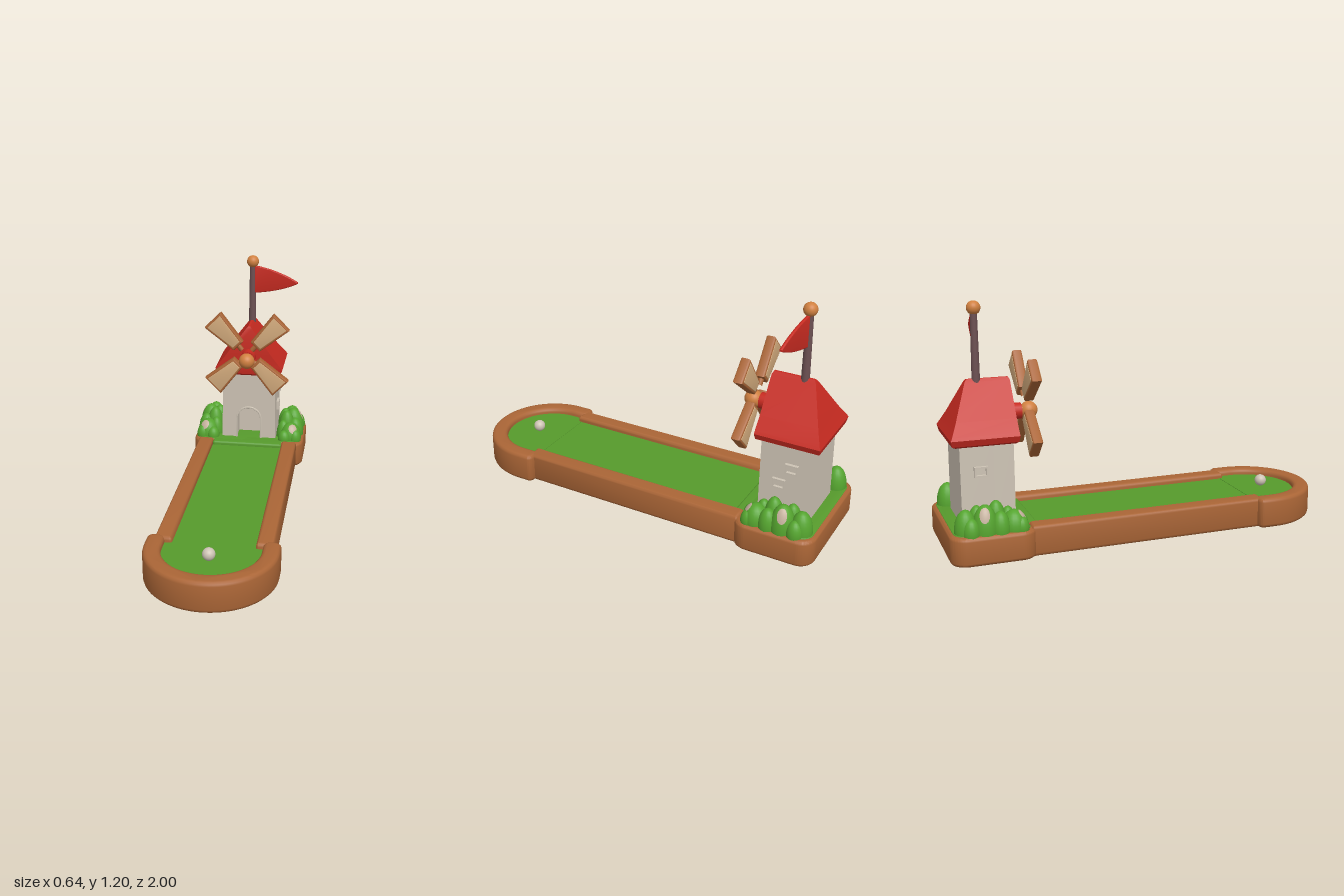
import * as THREE from 'three';
import { toCreasedNormals } from 'three/addons/utils/BufferGeometryUtils.js';

const mat = (name, color, side = THREE.FrontSide) => {
  const m = new THREE.MeshStandardMaterial({ color, side });
  m.name = name;
  return m;
};

export function createModel() {
  const M = {
    wood: mat('wood brown', 0xaa6536),
    turf: mat('turf green', 0x569a2c),
    bush: mat('bush green', 0x55a52f),
    wall: mat('wall cream', 0xcdc3b4),
    red: mat('roof red', 0xc62a20),
    sail: mat('sail tan', 0xd2aa7c),
    orange: mat('knob orange', 0xd08040),
    pole: mat('pole dark', 0x6c5052),
    blossom: mat('blossom', 0xc4b09c),
  };
  const model = new THREE.Group();
  model.name = 'miniGolfWindmill';

  const add = (name, geo, material, x = 0, y = 0, z = 0, parent = model) => {
    const mesh = new THREE.Mesh(geo, material);
    mesh.name = name;
    mesh.position.set(x, y, z);
    parent.add(mesh);
    return mesh;
  };

  // Extrude a shape with a rounded edge that stays inside the outline
  const bevelled = (shape, depth, b) => toCreasedNormals(new THREE.ExtrudeGeometry(shape, {
    depth: depth - 2 * b, bevelEnabled: b > 0, bevelSize: b, bevelThickness: b,
    bevelOffset: -b, bevelSegments: 3, curveSegments: 24,
  }).translate(0, 0, b), 0.7);

  // Ground plan (drawn with y = -z) raised from y0 to y1
  const raised = (shape, y0, y1, b) => bevelled(shape, y1 - y0, b).rotateX(-Math.PI / 2).translate(0, y0, 0);

  const roundRect = (x0, z0, x1, z1, r) => {
    const s = new THREE.Shape(), a = -z1, c = -z0;
    s.moveTo(x0 + r, a).lineTo(x1 - r, a).absarc(x1 - r, a + r, r, -Math.PI / 2, 0)
      .lineTo(x1, c - r).absarc(x1 - r, c - r, r, 0, Math.PI / 2)
      .lineTo(x0 + r, c).absarc(x0 + r, c - r, r, Math.PI / 2, Math.PI)
      .lineTo(x0, a + r).absarc(x0 + r, a + r, r, Math.PI, Math.PI * 1.5);
    return s;
  };

  // Lane ended by a half disc around z = 0.68
  const tongue = (r, z0) => new THREE.Shape().moveTo(r, -z0).lineTo(-r, -z0)
    .lineTo(-r, -0.68).absarc(0, -0.68, r, Math.PI, Math.PI * 2);

  // Base, side rails and rounded end rail
  add('laneFloor', new THREE.BoxGeometry(0.54, 0.07, 1.3), M.wood, 0, 0.037, 0);
  add('endFloor', raised(tongue(0.3, 0.61), 0.002, 0.075, 0), M.wood);
  for (const s of [-1, 1]) {
    const x0 = s > 0 ? 0.2 : -0.285;
    add(s > 0 ? 'leftRail' : 'rightRail', raised(roundRect(x0, -0.61, x0 + 0.085, 0.62, 0.01), 0, 0.155, 0.018), M.wood);
  }
  const rim = new THREE.Shape().moveTo(0.235, -0.68)
    .lineTo(0.235, -0.61).quadraticCurveTo(0.24, -0.587, 0.277, -0.585)
    .quadraticCurveTo(0.315, -0.587, 0.32, -0.61).lineTo(0.32, -0.68)
    .absarc(0, -0.68, 0.32, 0, -Math.PI, true)
    .lineTo(-0.32, -0.61).quadraticCurveTo(-0.315, -0.587, -0.277, -0.585)
    .quadraticCurveTo(-0.24, -0.587, -0.235, -0.61).lineTo(-0.235, -0.68)
    .absarc(0, -0.68, 0.235, -Math.PI, 0, false);
  add('endRail', raised(rim, 0, 0.157, 0.02), M.wood);
  add('rearBase', raised(roundRect(-0.32, -1, 0.32, -0.585, 0.08), 0, 0.142, 0.018), M.wood);

  // Turf
  add('laneTurf', raised(roundRect(-0.21, -0.62, 0.21, 0.65, 0.01), 0.06, 0.125, 0), M.turf);
  add('endTurf', raised(tongue(0.25, 0.6), 0.06, 0.127, 0), M.turf);
  add('rearTurf', raised(roundRect(-0.29, -0.98, 0.29, -0.61, 0.06), 0.12, 0.146, 0.004), M.turf);
  add('turfLip', raised(roundRect(-0.2, -0.66, 0.2, -0.565, 0.01), 0.1, 0.146, 0.01), M.turf);
  add('ball', new THREE.SphereGeometry(0.031, 24, 16), M.wall, 0, 0.158, 0.75);

  // House: front part with an arched doorway, solid rear part
  const house = new THREE.Group();
  house.name = 'house';
  model.add(house);
  const front = new THREE.Shape().moveTo(-0.158, 0.13).lineTo(-0.07, 0.13).lineTo(-0.07, 0.262)
    .absarc(0, 0.262, 0.07, Math.PI, 0, true).lineTo(0.07, 0.13)
    .lineTo(0.158, 0.13).lineTo(0.15, 0.56).lineTo(-0.15, 0.56);
  const back = new THREE.Shape().moveTo(-0.158, 0.13).lineTo(0.158, 0.13).lineTo(0.15, 0.56).lineTo(-0.15, 0.56);
  add('frontWall', bevelled(front, 0.1, 0), M.wall, 0, 0, -0.76, house);
  add('rearWalls', bevelled(back, 0.16, 0), M.wall, 0, 0, -0.92, house);
  const arch = new THREE.Shape().moveTo(-0.076, 0.14).lineTo(-0.076, 0.262)
    .absarc(0, 0.262, 0.076, Math.PI, 0, true).lineTo(0.076, 0.14).lineTo(0.066, 0.14)
    .lineTo(0.066, 0.262).absarc(0, 0.262, 0.066, 0, Math.PI, false).lineTo(-0.066, 0.14);
  add('doorFrame', bevelled(arch, 0.02, 0.002), M.wall, 0, 0, -0.673, house);

  // Side windows with a sill frame
  for (const [s, y, z] of [[1, 0.417, -0.823], [1, 0.325, -0.763], [-1, 0.41, -0.823]]) {
    const w = new THREE.Group();
    w.name = 'window';
    w.position.set(s * 0.157, y, z);
    house.add(w);
    for (const e of [-1, 1]) {
      add('frameBar', new THREE.BoxGeometry(0.024, 0.009, 0.066), M.wall, 0, e * 0.021, 0, w);
      add('framePost', new THREE.BoxGeometry(0.024, 0.042, 0.009), M.wall, 0, 0, e * 0.0285, w);
    }
  }

  // Roof: rectangular rings [y, half width, front z, back z], gable in front and hip behind
  const rings = [[0.535, 0.165, -0.65, -0.94], [0.545, 0.182, -0.64, -0.958], [0.575, 0.193, -0.636, -0.965],
    [0.59, 0.184, -0.637, -0.957], [0.65, 0.136, -0.638, -0.928], [0.815, 0.017, -0.638, -0.858], [0.828, 0.006, -0.645, -0.848]];
  const pos = [], idx = [];
  for (const [y, w, f, b] of rings) pos.push(-w, y, f, w, y, f, w, y, b, -w, y, b);
  for (let i = 0; i < rings.length - 1; i++) {
    for (let j = 0; j < 4; j++) {
      const a = i * 4 + j, c = i * 4 + (j + 1) % 4;
      idx.push(a, c, c + 4, a, c + 4, a + 4);
    }
  }
  const t = (rings.length - 1) * 4;
  idx.push(0, 2, 1, 0, 3, 2, t, t + 1, t + 2, t, t + 2, t + 3);
  const roof = new THREE.BufferGeometry();
  roof.setAttribute('position', new THREE.Float32BufferAttribute(pos, 3));
  roof.setIndex(idx);
  add('roof', toCreasedNormals(roof, 0.6), M.red, 0, 0, 0, house);

  // Sails on a short axle
  const axle = add('axle', new THREE.CylinderGeometry(0.04, 0.042, 0.09, 20), M.red, 0, 0.655, -0.63);
  axle.rotation.x = Math.PI / 2;
  add('hub', new THREE.SphereGeometry(0.044, 24, 18), M.orange, 0, 0.655, -0.545);
  const hubRod = add('hubRod', new THREE.CylinderGeometry(0.026, 0.026, 0.06, 16), M.orange, 0, 0.655, -0.575);
  hubRod.rotation.x = Math.PI / 2;
  const trapezoid = (y0, y1, w0, w1) => new THREE.Shape()
    .moveTo(-w0, y0).lineTo(w0, y0).lineTo(w1, y1).lineTo(-w1, y1);
  const frameGeo = bevelled(trapezoid(0.068, 0.272, 0.036, 0.063), 0.05, 0.009).translate(0, 0, -0.025);
  const clothGeo = bevelled(trapezoid(0.082, 0.262, 0.026, 0.05), 0.054, 0.002).translate(0, 0, -0.027);
  const sails = new THREE.Group();
  sails.name = 'sails';
  sails.position.set(0, 0.693, -0.56);
  model.add(sails);
  for (let i = 0; i < 4; i++) {
    const blade = new THREE.Group();
    blade.name = 'sail';
    blade.rotation.z = Math.PI / 4 + i * Math.PI / 2;
    sails.add(blade);
    add('sailFrame', frameGeo, M.wood, 0, 0, 0, blade);
    add('sailCloth', clothGeo, M.sail, 0, 0, 0, blade);
    // Spar running from the sail root to the hub
    const upper = i === 0 || i === 3;
    const start = new THREE.Vector3(0, upper ? 0.01 : -0.038, 0);
    const end = new THREE.Vector3(0, 0.08, 0).applyEuler(blade.rotation);
    if (upper) start.set(end.x * 0.5, end.y * 0.4, 0);
    const spar = new THREE.TubeGeometry(new THREE.LineCurve3(start, end), 1, 0.014, 10);
    add('spar', spar, M.wood, 0, 0, 0, sails);
  }

  // Flag pole, knob and pennant
  add('flagPole', new THREE.CylinderGeometry(0.017, 0.021, 0.37, 16), M.pole, 0, 0.965, -0.8);
  add('poleKnob', new THREE.SphereGeometry(0.034, 24, 18), M.orange, 0, 1.167, -0.8);
  const pennant = new THREE.Shape().moveTo(0.01, 0.985).quadraticCurveTo(0.17, 1.005, 0.262, 1.053)
    .lineTo(0.262, 1.062).quadraticCurveTo(0.15, 1.125, 0.01, 1.145);
  const flag = add('pennant', bevelled(pennant, 0.016, 0.005), M.red, 0, 0, -0.808);
  flag.rotation.y = -0.12;

  // Bushes: overlapping lumps [x, z, radius, height] on both sides, with blossom caps
  const lumps = [[0.245, -0.69, 0.062, 0.085], [0.25, -0.83, 0.062, 0.125], [0.215, -0.77, 0.05, 0.13],
    [0.265, -0.76, 0.048, 0.09], [0.235, -0.92, 0.055, 0.105], [0.272, -0.9, 0.042, 0.07],
    [0.272, -0.66, 0.036, 0.055], [0.21, -0.65, 0.036, 0.05], [0.2, -0.86, 0.045, 0.11], [0.2, -0.71, 0.04, 0.09]];
  const capped = { 0: [0.3, 0.75], 1: [0.85, -0.2] };
  for (const s of [-1, 1]) {
    const bush = new THREE.Group();
    bush.name = s > 0 ? 'leftBush' : 'rightBush';
    model.add(bush);
    lumps.forEach(([x, z, r, h], i) => {
      const lump = add('bushLump', new THREE.SphereGeometry(1, 20, 14), M.bush, s * x, 0.152, z, bush);
      lump.scale.set(r, h, r);
      if (!capped[i]) return;
      const [dx, dz] = capped[i];
      const dir = new THREE.Vector3(s * dx, 0.9, dz).normalize();
      const cap = new THREE.SphereGeometry(1.015, 14, 4, 0, Math.PI * 2, 0, 0.4);
      cap.applyQuaternion(new THREE.Quaternion().setFromUnitVectors(new THREE.Vector3(0, 1, 0), dir));
      const blossom = add('blossom', cap, M.blossom, s * x, 0.152, z, bush);
      blossom.scale.set(r, h, r);
    });
  }
  return model;
}
